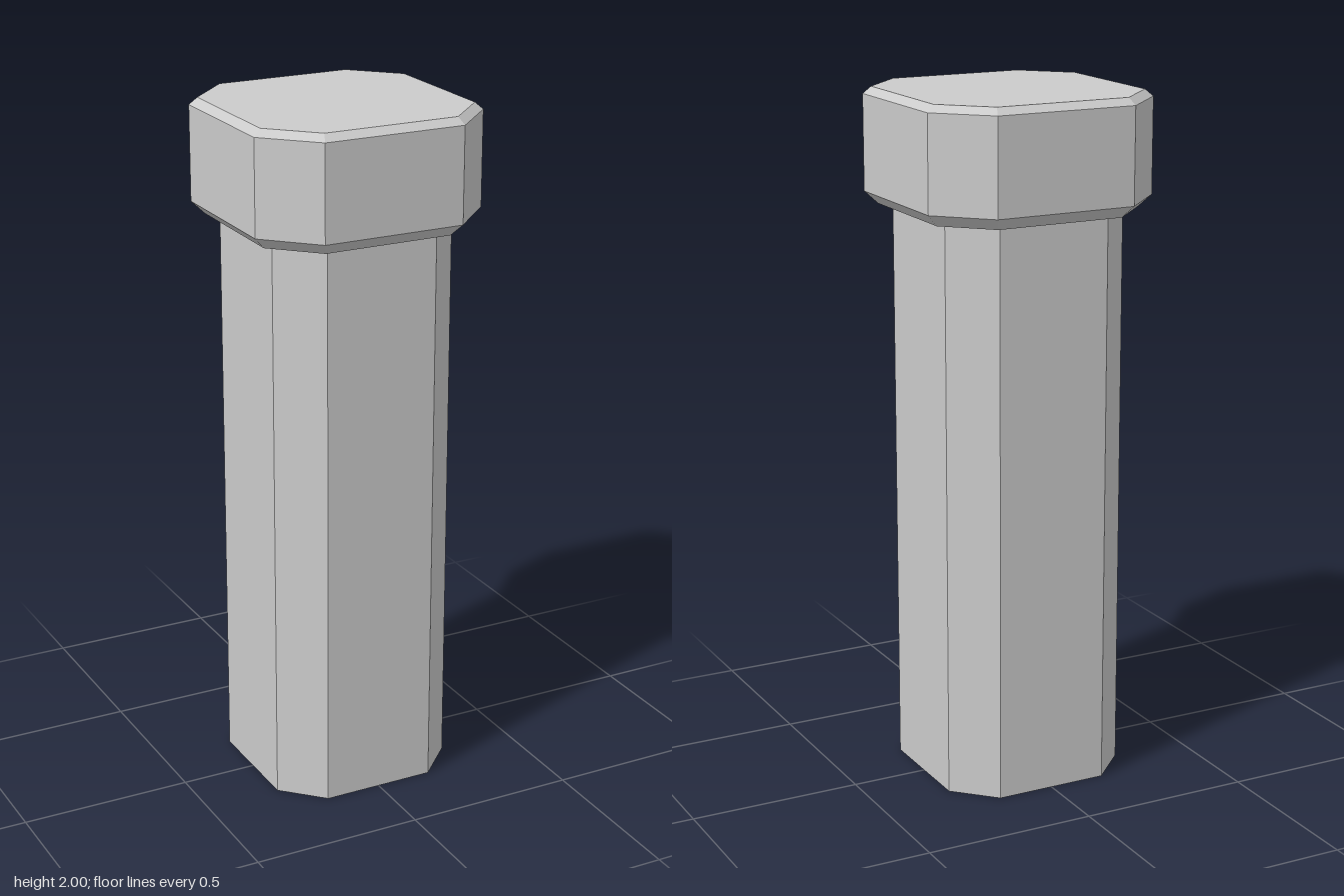
import * as THREE from 'three';

// Square outline with cut corners: half width h, flat side half length c
function outline(y, h, c) {
  return [[h, -c], [h, c], [c, h], [-c, h], [-h, c], [-h, -c], [-c, -h], [c, -h]]
    .map(([x, z]) => [x, y, z]);
}

// Joins cut-corner outlines [y, h, c] from bottom to top, with optional end caps
function loft(sections, { capBottom = false, capTop = false }) {
  const rings = sections.map((s) => outline(...s));
  const pos = [];
  const tri = (...pts) => pts.forEach((p) => pos.push(...p));
  for (let r = 0; r < rings.length - 1; r++) {
    const lo = rings[r], hi = rings[r + 1];
    for (let i = 0; i < 8; i++) {
      const j = (i + 1) % 8;
      tri(lo[i], hi[i], lo[j]);
      tri(hi[i], hi[j], lo[j]);
    }
  }
  const first = rings[0], last = rings[rings.length - 1];
  for (let i = 1; i < 7; i++) {
    if (capBottom) tri(first[0], first[i], first[i + 1]);
    if (capTop) tri(last[0], last[i + 1], last[i]);
  }
  const geo = new THREE.BufferGeometry();
  geo.setAttribute('position', new THREE.Float32BufferAttribute(pos, 3));
  geo.computeVertexNormals();
  return geo;
}

export function createModel() {
  const group = new THREE.Group();
  group.name = 'octagonalPost';
  const material = new THREE.MeshStandardMaterial({ color: 0xcccccc, flatShading: true });
  const add = (name, geometry) => {
    const mesh = new THREE.Mesh(geometry, material);
    mesh.name = name;
    group.add(mesh);
  };

  // Straight shaft, closed at the foot
  add('shaft', loft([[0, 0.278, 0.167], [1.67, 0.278, 0.167]], { capBottom: true }));

  // Wider head: flat underside, lower bevel, sides, upper bevel, flat top
  add('head', loft([
    [1.67, 0.278, 0.167],
    [1.67, 0.313, 0.19],
    [1.705, 0.347, 0.209],
    [1.98, 0.347, 0.209],
    [2, 0.325, 0.2],
  ], { capTop: true }));

  return group;
}
